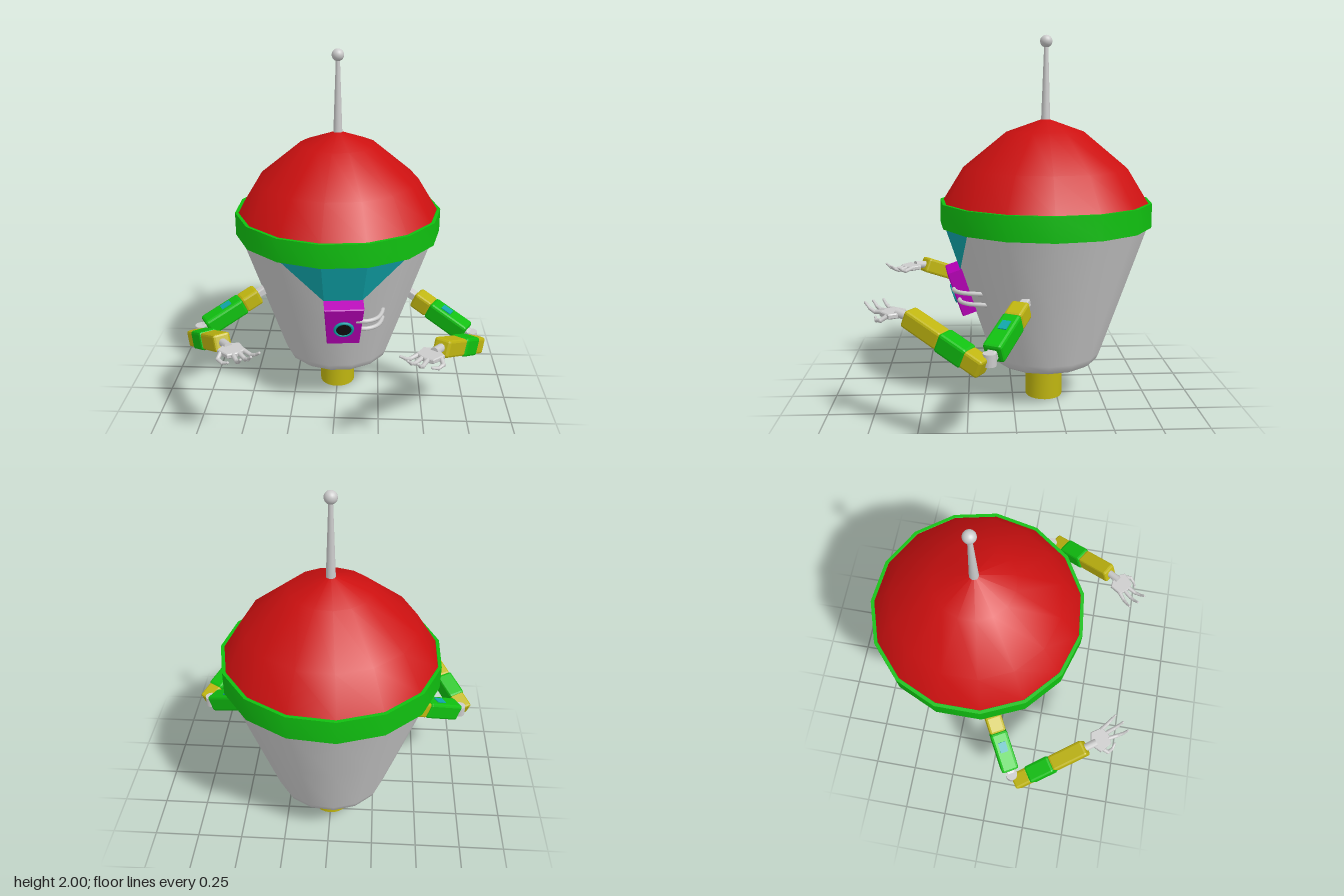
import * as THREE from 'three';
import { toCreasedNormals } from 'three/addons/utils/BufferGeometryUtils.js';
import { RoundedBoxGeometry } from 'three/addons/geometries/RoundedBoxGeometry.js';

const V = (x, y, z) => new THREE.Vector3(x, y, z);
const mat = (color, extra = {}) => new THREE.MeshStandardMaterial({ color, ...extra });
const AXIS_Z = -0.18, SIDES = 15;
const COLORS = { grey: 0xcccccc, red: 0xcc1010, green: 0x10c010, yellow: 0xbfb510, cyan: 0x10a5aa, magenta: 0xb800b8, black: 0x101010 };

function mesh(parent, name, geometry, color, extra) {
  const m = new THREE.Mesh(geometry, mat(COLORS[color], extra));
  m.name = name;
  parent.add(m);
  return m;
}

// Turned part on the body axis, with a corner pointing to +x
function turned(parent, name, profile, color, sides = SIDES, crease = 0) {
  let g = new THREE.LatheGeometry(profile.map(p => new THREE.Vector2(...p)), sides, Math.PI / 2);
  if (crease) g = toCreasedNormals(g, crease);
  const m = mesh(parent, name, g, color, { side: THREE.DoubleSide });
  m.position.z = AXIS_Z;
  return m;
}

// Chamfered square bar from a to b
function bar(parent, name, a, b, width, color, height = width) {
  const len = a.distanceTo(b);
  const m = mesh(parent, name, new RoundedBoxGeometry(width, height, len, 1, Math.min(width, height) * 0.14), color, { flatShading: true });
  m.position.lerpVectors(a, b, 0.5);
  m.lookAt(b);
  return m;
}

// Round rod from a to b
function rod(parent, name, a, b, r0, r1 = r0, sides = 8) {
  const g = new THREE.CylinderGeometry(r1, r0, a.distanceTo(b), sides);
  const m = mesh(parent, name, g, 'grey');
  m.position.lerpVectors(a, b, 0.5);
  m.quaternion.setFromUnitVectors(V(0, 1, 0), b.clone().sub(a).normalize());
  return m;
}

// Tinted panel lying on three facets of the body wall
function buildPanel(parent) {
  const wall = (deg, y) => {
    const r = 0.315 + (y - 0.27) * 0.34 + 0.006, a = THREE.MathUtils.degToRad(deg);
    return V(r * Math.cos(a), y, r * Math.sin(a) + AXIS_Z);
  };
  const top = [48, 72, 96, 120].map(d => wall(d, 0.995));
  const low = [72, 96].map(d => wall(d, 0.765));
  const tris = [top[0], low[0], top[1], top[1], low[0], low[1], top[1], low[1], top[2], top[2], low[1], top[3]];
  const g = new THREE.BufferGeometry().setFromPoints(tris);
  g.computeVertexNormals();
  mesh(parent, 'frontPanel', g, 'cyan', { side: THREE.DoubleSide });
}

// Tapered box with a round lens, tilted to sit on the body wall
function buildLensBox(parent) {
  const box = new THREE.Group();
  box.name = 'lensBox';
  box.position.set(0.047, 0.635, 0.248);
  box.lookAt(box.position.clone().add(V(0.098, -0.32, 0.94)));
  const shape = new THREE.Shape([[-0.088, -0.115], [0.088, -0.115], [0.105, 0.14], [-0.105, 0.14]].map(p => new THREE.Vector2(...p)));
  const g = new THREE.ExtrudeGeometry(shape, { depth: 0.083, bevelEnabled: true, bevelThickness: 0.006, bevelSize: 0.004, bevelOffset: -0.004, bevelSegments: 1 });
  g.translate(0, 0, -0.012);
  mesh(box, 'lensHousing', g, 'magenta');
  const ring = mesh(box, 'lensRing', new THREE.TorusGeometry(0.047, 0.008, 8, 24), 'cyan');
  ring.position.z = 0.08;
  const lens = mesh(box, 'lens', new THREE.CylinderGeometry(0.045, 0.045, 0.02, 24), 'black');
  lens.rotation.x = Math.PI / 2;
  lens.position.z = 0.074;
  parent.add(box);

  // Two pipes running from the box into the body
  for (const y of [0.66, 0.6]) {
    const z = 0.14 + (y - 0.6) * 0.5;
    const path = new THREE.CatmullRomCurve3([V(0.12, y, z + 0.15), V(0.18, y, z + 0.147), V(0.235, y, z + 0.105), V(0.262, y, z), V(0.255, y, z - 0.04)]);
    mesh(parent, 'pipe', new THREE.TubeGeometry(path, 16, 0.012, 8), 'grey');
  }
}

// Jointed arm; s = 1 for the left, -1 for the right
function buildArm(s) {
  const arm = new THREE.Group();
  arm.name = s > 0 ? 'leftArm' : 'rightArm';
  const P = (x, y, z) => V(x * s, y, z);
  const shoulder = P(0.40, 0.665, -0.06), elbow = P(0.755, 0.487, 0.138);
  const u = t => shoulder.clone().lerp(elbow, t);
  bar(arm, 'shoulderJoint', u(-0.05), u(0.18), 0.045, 'grey');
  bar(arm, 'shoulder', u(0.15), u(0.39), 0.095, 'yellow');
  const upper = bar(arm, 'upperArm', u(0.38), u(0.92), 0.1, 'green');
  const pad = mesh(upper, 'armPad', new THREE.BoxGeometry(0.045, 0.012, 0.06), 'cyan');
  pad.position.set(0, 0.049, -0.03);
  bar(arm, 'elbowJoint', u(0.9), u(1.03), 0.05, 'grey');

  const start = P(0.785, 0.455, 0.165), wrist = P(0.548, 0.635, 0.53);
  const f = t => start.clone().lerp(wrist, t);
  const pivot = mesh(arm, 'elbowPivot', new THREE.CylinderGeometry(0.033, 0.033, 0.06, 12), 'grey');
  pivot.position.copy(elbow);
  bar(arm, 'forearmBase', f(0), f(0.23), 0.09, 'yellow');
  bar(arm, 'forearmBand', f(0.2), f(0.54), 0.1, 'green');
  bar(arm, 'forearm', f(0.53), f(1), 0.09, 'yellow');

  // Hand: wrist, flat palm, three fingers and a thumb
  rod(arm, 'wrist', f(0.98), P(0.51, 0.642, 0.585), 0.022, 0.022, 10);
  const palm = [[0.56, 0.62], [0.53, 0.555], [0.46, 0.545], [0.42, 0.605], [0.455, 0.65], [0.5, 0.67]];
  const g = new THREE.ExtrudeGeometry(new THREE.Shape(palm.map(([x, z]) => new THREE.Vector2(x * s, -z))), { depth: 0.016, bevelThickness: 0.005, bevelSize: 0.004, bevelOffset: -0.004, bevelSegments: 1 });
  g.rotateX(-Math.PI / 2);
  g.translate(0, 0.625, 0);
  mesh(arm, 'palm', g, 'grey');
  const fingers = [
    [[0.435, 0.635, 0.6], [0.39, 0.628, 0.635], [0.365, 0.64, 0.653], [0.342, 0.66, 0.67]],
    [[0.45, 0.635, 0.63], [0.412, 0.628, 0.675], [0.393, 0.64, 0.697], [0.375, 0.664, 0.717]],
    [[0.475, 0.635, 0.65], [0.448, 0.628, 0.7], [0.434, 0.642, 0.727], [0.42, 0.668, 0.75]],
    [[0.54, 0.633, 0.63], [0.55, 0.615, 0.66], [0.525, 0.608, 0.683], [0.495, 0.615, 0.692]],
  ];
  fingers.forEach((pts, i) => {
    const p = pts.map(q => P(...q));
    for (let k = 0; k < 3; k++) rod(arm, i < 3 ? 'finger' : 'thumb', p[k], p[k + 1], 0.0125 - k * 0.002, 0.0105 - k * 0.002);
    for (let k = 1; k < 4; k++) {
      const knuckle = mesh(arm, 'knuckle', new THREE.SphereGeometry(0.0135 - k * 0.002, 8, 6), 'grey');
      knuckle.position.copy(p[k]);
    }
  });
  return arm;
}

export function createModel() {
  const model = new THREE.Group();
  model.name = 'robot';

  // Body, rim, dome and hollow foot
  turned(model, 'body', [[0, 0.215], [0.24, 0.212], [0.275, 0.217], [0.3, 0.235], [0.315, 0.27], [0.437, 0.63], [0.56, 0.995]], 'grey');
  turned(model, 'rim', [[0.545, 0.99], [0.58, 0.99], [0.58, 1.12], [0.562, 1.12], [0.545, 1.1], [0.545, 0.99]], 'green', SIDES, 0.6);
  turned(model, 'dome', [[0.563, 1.115], [0.45, 1.297], [0.213, 1.49], [0, 1.565]], 'red');
  turned(model, 'foot', [[0.103, 0.225], [0.103, 0], [0.085, 0], [0.085, 0.2], [0, 0.2]], 'yellow', 24, 0.6);

  // Antenna
  turned(model, 'antennaRod', [[0.025, 1.545], [0.011, 1.95]], 'grey', 16);
  const ball = mesh(model, 'antennaBall', new THREE.SphereGeometry(0.033, 20, 14), 'grey');
  ball.position.set(0, 1.967, AXIS_Z);

  buildPanel(model);
  buildLensBox(model);
  for (const s of [1, -1]) model.add(buildArm(s));
  return model;
}
